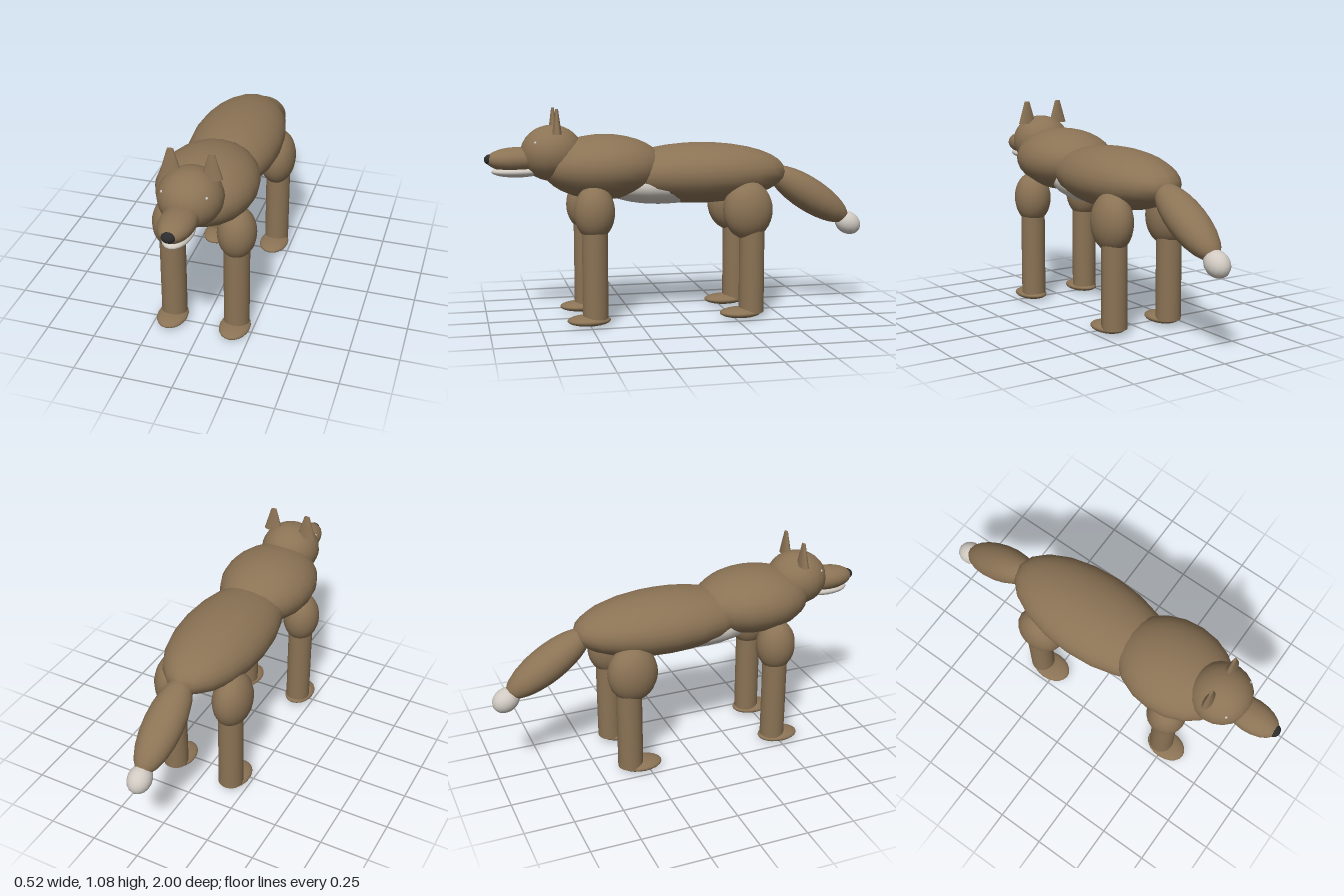
import * as THREE from 'three';

export function createModel() {
  const model = new THREE.Group();
  const mat = (name, color) => {
    const m = new THREE.MeshStandardMaterial({ color });
    m.name = name;
    return m;
  };
  const fur = mat('brown fur', 0x8b7355);
  const pale = mat('pale fur', 0xd0cac2);
  const dark = mat('dark nose', 0x2c2c2c);

  const add = (name, geometry, material, x, y, z) => {
    const mesh = new THREE.Mesh(geometry, material);
    mesh.name = name;
    mesh.position.set(x, y, z);
    model.add(mesh);
    return mesh;
  };
  // Ellipsoid given its centre and three radii
  const blob = (name, material, [x, y, z], [rx, ry, rz], segments = 20) =>
    add(name, new THREE.SphereGeometry(1, segments, Math.round(segments * 0.8)).scale(rx, ry, rz),
      material, x, y, z);

  // Trunk
  blob('body', fur, [0, 0.745, -0.1], [0.233, 0.157, 0.47]);
  blob('chest', fur, [0, 0.786, 0.4], [0.247, 0.166, 0.312]);
  blob('belly', pale, [0, 0.69, 0.1], [0.18, 0.102, 0.32]);

  // Head
  blob('head', fur, [0, 0.861, 0.662], [0.156, 0.141, 0.158]);
  blob('muzzle', fur, [0, 0.83, 0.84], [0.085, 0.063, 0.15]);
  blob('jaw', pale, [0, 0.771, 0.835], [0.07, 0.03, 0.13]);
  blob('nose', dark, [0, 0.833, 0.968], [0.035, 0.027, 0.032], 16);

  // Tail, sloping down behind the body
  const tilt = -0.567;
  blob('tail', fur, [0, 0.613, -0.705], [0.1, 0.09, 0.26]).rotation.x = tilt;
  blob('tailTip', pale, [0, 0.452, -0.931], [0.06, 0.06, 0.074], 16).rotation.x = tilt;

  // Parts mirrored left and right
  for (const [side, s] of [['left', 1], ['right', -1]]) {
    const ear = new THREE.CylinderGeometry(0.015, 0.052, 0.123, 16).scale(1, 1, 0.45);
    add(side + 'Ear', ear, fur, s * 0.098, 1.023, 0.645);
    blob(side + 'Eye', pale, [s * 0.106, 0.92, 0.753], [0.007, 0.007, 0.007], 10);

    // Legs: rounded upper leg, straight lower leg, flat paw
    const legs = [
      { end: 'Front', thigh: [0.575, 0.472], size: [0.097, 0.138, 0.103], leg: 0.472, paw: 0.505 },
      { end: 'Rear', thigh: [0.562, -0.32], size: [0.097, 0.151, 0.13], leg: -0.342, paw: -0.285 },
    ];
    for (const { end, thigh, size, leg, paw } of legs) {
      const x = s * 0.165;
      blob(side + end + 'UpperLeg', fur, [x, ...thigh], size);
      add(side + end + 'LowerLeg', new THREE.CylinderGeometry(0.065, 0.065, 0.47, 20), fur, x, 0.265, leg);
      blob(side + end + 'Paw', fur, [x, 0.028, paw], [0.078, 0.027, 0.11]);
    }
  }
  return model;
}
